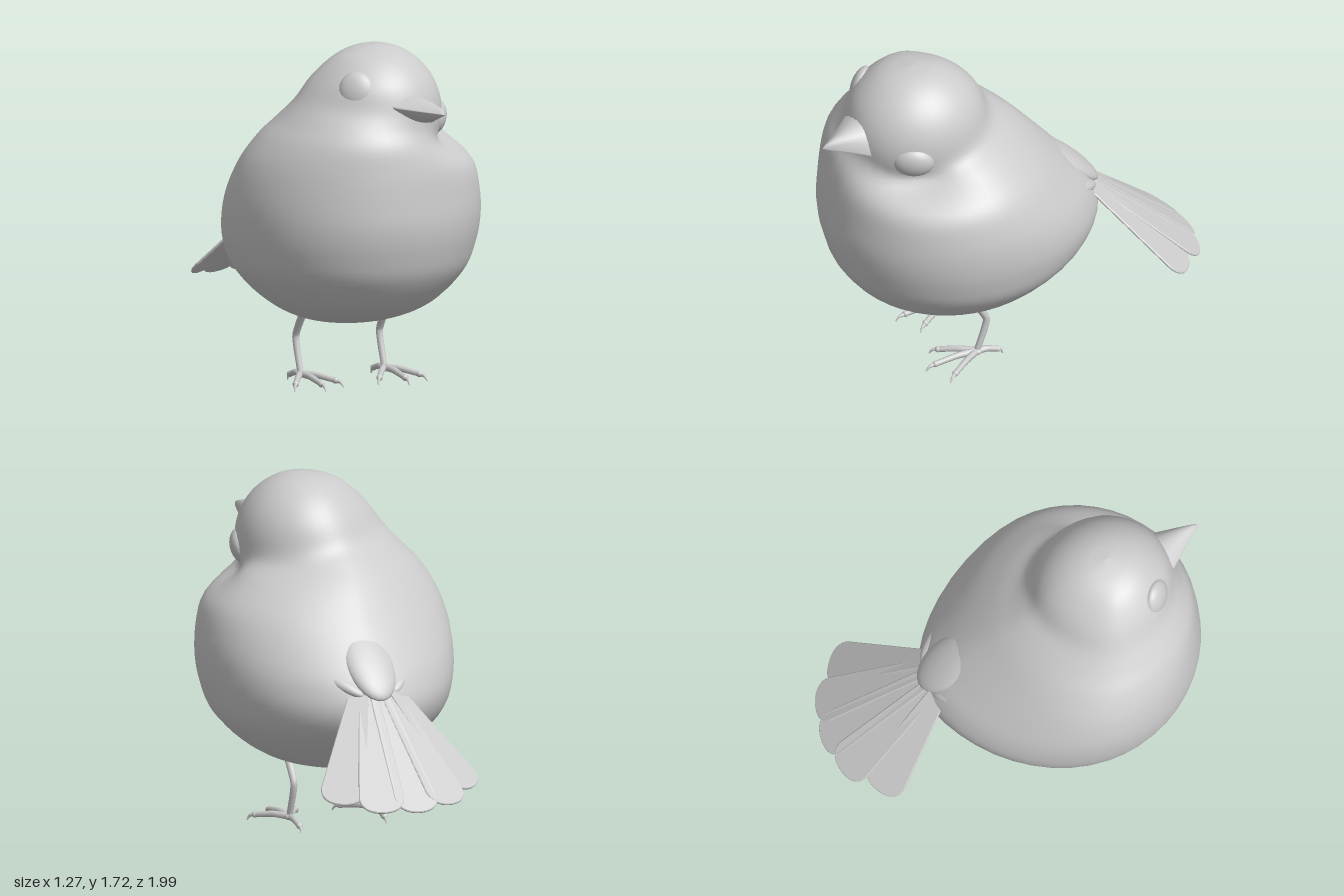
import * as THREE from 'three';

const V = (x, y, z) => new THREE.Vector3(x, y, z);
const material = new THREE.MeshStandardMaterial({ color: 0xcccccc });

function addMesh(parent, name, geometry) {
  const mesh = new THREE.Mesh(geometry, material);
  mesh.name = name;
  parent.add(mesh);
  return mesh;
}

// Closed rings stacked along an axis; point(u, angle) gives each vertex
function loft(rings, sides, point) {
  const pos = [], index = [];
  for (let i = 0; i <= rings; i++) {
    for (let j = 0; j < sides; j++) pos.push(...point(i / rings, (j / sides) * Math.PI * 2).toArray());
  }
  for (let i = 0; i < rings; i++) {
    for (let j = 0; j < sides; j++) {
      const a = i * sides + j, b = i * sides + (j + 1) % sides;
      index.push(a, b, b + sides, a, b + sides, a + sides);
    }
  }
  const g = new THREE.BufferGeometry();
  g.setAttribute('position', new THREE.Float32BufferAttribute(pos, 3));
  g.setIndex(index);
  g.computeVertexNormals();
  return g;
}

// Round limb along a path, its radius changing evenly from r0 to r1
function taperTube(points, r0, r1, steps = 12) {
  const curve = new THREE.CatmullRomCurve3(points, false, 'catmullrom', 0.25);
  const sides = 8, g = new THREE.TubeGeometry(curve, steps, 1, sides), p = g.attributes.position, v = V();
  for (let k = 0; k < p.count; k++) {
    const t = Math.floor(k / (sides + 1)) / steps, c = curve.getPointAt(t);
    v.fromBufferAttribute(p, k).sub(c).multiplyScalar(r0 + (r1 - r0) * t).add(c);
    p.setXYZ(k, v.x, v.y, v.z);
  }
  return g;
}

// Ellipsoid whose local z axis points along dir
function ellipsoid(parent, name, center, radii, dir) {
  const mesh = addMesh(parent, name, new THREE.SphereGeometry(1, 28, 18).scale(...radii));
  mesh.position.copy(center);
  mesh.lookAt(center.clone().add(dir));
}

// Body sections: height, left and right edge, back, front, depth of the widest point
const SECTIONS = [
  [0.31, 0, 0, 0.25, 0.25, 0.25],
  [0.34, -0.23, 0.23, -0.02, 0.47, 0.25],
  [0.43, -0.41, 0.41, -0.21, 0.7, 0.25],
  [0.58, -0.56, 0.56, -0.41, 0.84, 0.26],
  [0.72, -0.615, 0.615, -0.49, 0.895, 0.27],
  [0.86, -0.635, 0.635, -0.45, 0.92, 0.28],
  [1.0, -0.63, 0.625, -0.34, 0.915, 0.29],
  [1.15, -0.59, 0.575, -0.21, 0.9, 0.32],
  [1.27, -0.52, 0.46, -0.1, 0.875, 0.36],
  [1.36, -0.44, 0.34, 0, 0.82, 0.4],
  [1.45, -0.365, 0.28, 0.11, 0.76, 0.42],
  [1.56, -0.285, 0.24, 0.2, 0.73, 0.43],
  [1.66, -0.18, 0.16, 0.32, 0.64, 0.46],
  [1.7, -0.09, 0.1, 0.39, 0.57, 0.48],
  [1.725, 0.03, 0.03, 0.48, 0.48, 0.48],
];
const HEAD = V(0.04, 1.395, 0.46), HEAD_R = V(0.318, 0.33, 0.352);

// Distance from (x, z) to the head's edge at height y, along (dx, dz)
function headReach(x, y, z, dx, dz) {
  const ax = (x - HEAD.x) / HEAD_R.x, az = (z - HEAD.z) / HEAD_R.z;
  const ux = dx / HEAD_R.x, uz = dz / HEAD_R.z;
  const a = ux * ux + uz * uz, b = ax * ux + az * uz;
  const c = ax * ax + az * az + ((y - HEAD.y) / HEAD_R.y) ** 2 - 1;
  const d = b * b - a * c;
  return d > 0 ? (Math.sqrt(d) - b) / a : 0;
}

// Body and head in one skin, the round head blended softly into the body
function bodyGeometry() {
  const curve = (k) => new THREE.CatmullRomCurve3(SECTIONS.map((s) => V(s[k], s[k + 1], s[k + 2])), false, 'catmullrom', 0.5);
  const widths = curve(0), depths = curve(3);
  return loft(70, 48, (u, th) => {
    const { x: y, y: xl, z: xr } = widths.getPoint(u);
    const { x: zb, y: zf, z: zc } = depths.getPoint(u);
    const s = Math.sin(th), c = Math.cos(th), xc = (xl + xr) / 2;
    // The rump is more pointed than the breast and leans to the tail
    const taper = c < 0 ? Math.pow(Math.abs(s), 0.23) : 1;
    const lean = c < 0 ? 0.04 * c * c * Math.sin(Math.PI * u) : 0;
    // Hollow below the lowered cheek
    const hollow = 1 - 0.28 * Math.exp(-(((y - 1.29) / 0.1) ** 2) - ((th - 1.02) / 0.45) ** 2);
    const dx = (((xr - xl) / 2) * s * taper + lean) * hollow, dz = c * (c > 0 ? zf - zc : zc - zb) * hollow;
    const body = Math.hypot(dx, dz);
    if (body < 1e-4) return V(xc, y, zc);
    const head = headReach(xc, y, zc, dx / body, dz / body);
    const soft = Math.min(0.07, body), near = Math.max(soft - Math.abs(body - head), 0);
    const r = (Math.max(body, head) + (near * near) / (4 * soft)) / body;
    return V(xc + dx * r, y, zc + dz * r);
  });
}

function beakGeometry() {
  const base = V(0.08, 1.41, 0.775), tip = V(0.14, 1.44, 1.0);
  const across = V(0.92, -0.38, -0.2), up = V(0.38, 0.92, 0);
  return loft(12, 20, (u, th) => {
    const c = Math.cos(th), s = Math.sin(th);
    const wide = 0.135 * (0.8 * Math.pow(1 - u, 1.35) + 0.2 * Math.sqrt(1 - u * u));
    const high = (s > 0 ? 0.1 : 0.035) * (0.6 * (1 - u) + 0.4 * Math.sqrt(1 - u * u));
    return base.clone().lerp(tip, u)
      .addScaledVector(across, wide * c)
      .addScaledVector(up, high * s * Math.abs(s));
  });
}

// Flat feather from base to tip, with a rounded end
function feather(parent, base, tip, width, normal) {
  const dir = tip.clone().sub(base), L = dir.length();
  dir.normalize();
  const shape = new THREE.Shape();
  shape.moveTo(-0.04, 0);
  shape.lineTo(0.04, 0);
  shape.lineTo(width, L - 0.09);
  shape.bezierCurveTo(width, L - 0.03, width * 0.6, L, 0, L);
  shape.bezierCurveTo(-width * 0.6, L, -width, L - 0.03, -width, L - 0.09);
  shape.closePath();
  const g = new THREE.ExtrudeGeometry(shape, {
    depth: 0.006, bevelEnabled: true, bevelThickness: 0.004, bevelSize: 0.004, bevelSegments: 1, curveSegments: 8,
  });
  const n = normal.clone().addScaledVector(dir, -normal.dot(dir)).normalize();
  g.applyMatrix4(new THREE.Matrix4().makeBasis(dir.clone().cross(n), dir, n).setPosition(base));
  addMesh(parent, 'tailFeather', g);
}

function makeTail() {
  const tail = new THREE.Group();
  tail.name = 'tail';
  const reach = [[0, 0.37, -0.985], [0.185, 0.385, -0.95], [0.35, 0.42, -0.82]];
  for (let i = -2; i <= 2; i++) {
    const [dx, y, z] = reach[Math.abs(i)];
    const drop = 0.006 * Math.abs(i);
    feather(tail, V(0.05 + 0.04 * i, 0.87 - drop, -0.4), V(0.08 + dx * Math.sign(i), y - drop, z), 0.108, V(0.2 * i, 0.76, -0.65));
  }
  // Short feathers covering the root of the tail
  ellipsoid(tail, 'tailCovert', V(0.05, 0.96, -0.33), [0.125, 0.05, 0.225], V(0, -0.68, -0.73));
  for (const s of [-1, 1]) {
    ellipsoid(tail, 'sideCovert', V(0.05 + s * 0.15, 0.875, -0.35), [0.05, 0.035, 0.13], V(-s * 0.45, -0.3, -0.6));
  }
  return tail;
}

function makeLeg(x, z) {
  const leg = new THREE.Group();
  leg.name = 'leg';
  leg.position.set(x, 0, z);
  addMesh(leg, 'shank', taperTube([V(0, 0.38, 0.05), V(0, 0.235, -0.04), V(0, 0.06, 0.01)], 0.02, 0.016, 16));
  ellipsoid(leg, 'ankle', V(0, 0.055, 0.01), [0.025, 0.018, 0.026], V(0, 0, 1));
  // Three toes forward and one back, each ending in a claw
  for (const [tx, tz] of [[0, 0.27], [-0.13, 0.2], [0.13, 0.2], [0, -0.12]]) {
    const at = (t, y) => V(tx * t, y, 0.01 + (tz - 0.01) * t);
    addMesh(leg, 'toe', taperTube([at(0, 0.055), at(0.4, 0.055), at(0.85, 0.037)], 0.018, 0.014));
    ellipsoid(leg, 'toePad', at(0.85, 0.037), [0.016, 0.016, 0.016], V(0, 0, 1));
    addMesh(leg, 'claw', taperTube([at(0.83, 0.038), at(0.97, 0.03), at(1.05, 0.005)], 0.013, 0.003, 6));
  }
  return leg;
}

export function createModel() {
  const bird = new THREE.Group();
  bird.name = 'bird';
  addMesh(bird, 'body', bodyGeometry());
  addMesh(bird, 'beak', beakGeometry());
  // The head is turned and tilted, so the eyes sit at different heights
  ellipsoid(bird, 'rightEye', V(-0.172, 1.535, 0.665), [0.09, 0.095, 0.045], V(-0.62, 0.25, 0.72));
  ellipsoid(bird, 'leftEye', V(0.3, 1.353, 0.585), [0.105, 0.088, 0.06], V(0.85, -0.25, 0.43));
  bird.add(makeTail(), makeLeg(-0.228, 0.17), makeLeg(0.22, 0.2));
  return bird;
}
